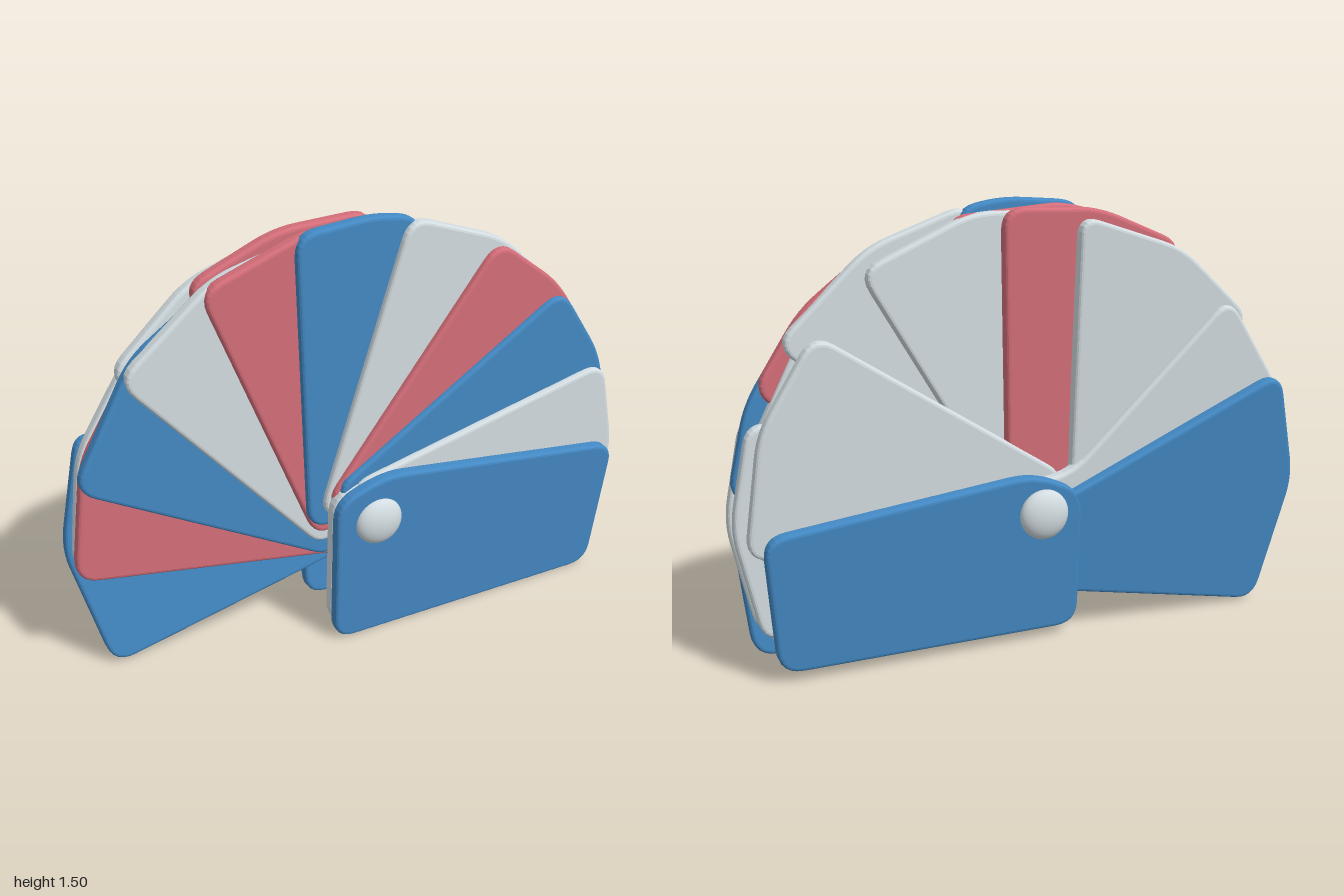
import * as THREE from 'three';

const mat = (name, color) => {
  const m = new THREE.MeshStandardMaterial({ color });
  m.name = name;
  return m;
};
const RAD = Math.PI / 180;
const PIVOT_Y = 0.47;

// Closed polygon whose corners are softened by radius r
function roundedShape(points, radius) {
  const p = points.map(([x, y]) => new THREE.Vector2(x, y));
  const shape = new THREE.Shape();
  p.forEach((c, i) => {
    const prev = p[(i + p.length - 1) % p.length];
    const next = p[(i + 1) % p.length];
    const cut = (to) => {
      const d = to.clone().sub(c);
      return c.clone().addScaledVector(d.clone().normalize(), Math.min(radius, d.length() * 0.45));
    };
    const a = cut(prev), b = cut(next);
    if (i === 0) shape.moveTo(a.x, a.y);
    else shape.lineTo(a.x, a.y);
    shape.quadraticCurveTo(c.x, c.y, b.x, b.y);
  });
  shape.closePath();
  return shape;
}

// Card stock with softly rounded edges, centred on its own z = 0
function cardGeometry(points) {
  const g = new THREE.ExtrudeGeometry(roundedShape(points, 0.08), {
    depth: 0.022, bevelEnabled: true, bevelThickness: 0.013, bevelSize: 0.013,
    bevelOffset: -0.013, bevelSegments: 3, curveSegments: 6,
  });
  g.translate(0, 0, -0.011);
  return g;
}

// Wedge-shaped leaf: h is the distance of its long upper edge from the pivot,
// low the direction of its lower outer corner, inner its lower corner by the pivot
function leafPoints(h, r, low = -36, inner = [0.06, -0.12]) {
  const polar = (deg, q) => [q * Math.cos(deg * RAD), q * Math.sin(deg * RAD)];
  return [
    [-0.05, h],
    [-0.05, inner[1]],
    inner,
    polar(low, r - 0.01),
    polar(low / 3, r),
    [Math.sqrt(r * r - h * h), h],
  ];
}

export function createModel() {
  const blue = mat('blue', 0x4389c4);
  const red = mat('red', 0xd46e79);
  const grey = mat('paleGrey', 0xd3dde1);

  const model = new THREE.Group();
  model.name = 'cardFan';

  const addCard = (name, points, material, z, angle = 0, lean = 0) => {
    const mesh = new THREE.Mesh(cardGeometry(points), material);
    mesh.name = name;
    mesh.rotation.z = angle * RAD;
    const holder = new THREE.Group();
    holder.name = name + 'Holder';
    holder.position.set(0, PIVOT_Y, z);
    holder.rotation.x = lean;
    holder.add(mesh);
    model.add(holder);
  };

  // Fanned leaves, each turned further and lying one layer deeper:
  // colour, edge offset, length, depth, direction of lower corner
  const leaves = [
    [grey, 0.15, 1.0, 0.122, -36],
    [blue, 0.17, 1.005, 0.1, -27],
    [red, 0.16, 1.015, 0.08, -26],
    [grey, 0.16, 1.03, 0.055, -36],
    [blue, 0.2, 1.035, 0.03, -14],
    [red, 0.19, 1.025, 0.005, -36],
    [grey, 0.21, 1.02, -0.018, -36],
    [blue, 0.25, 1.013, -0.04, -36],
    [red, 0.25, 0.998, -0.062, -30],
  ];
  const leafAngle = (i) => 13 + 19.6 * i;
  leaves.forEach(([colour, h, r, z, low], i) => {
    addCard('fanLeaf' + (i + 1), leafPoints(h, r, low), colour, z, leafAngle(i));
  });

  // Pale sheets filling the stack behind the coloured leaves
  addCard('lowBacking', leafPoints(0.15, 0.998), grey, 0.042, leafAngle(0));
  addCard('middleBacking', leafPoints(0.14, 0.97), grey, 0.064, leafAngle(2));
  addCard('deepBacking', leafPoints(0.14, 0.95), grey, 0.0, 30);
  addCard('innerBacking', leafPoints(0.17, 1.01), grey, -0.012, leafAngle(4));

  // Leaves seen from behind
  addCard('rearRedLeaf', leafPoints(0.17, 1.025, -29), red, -0.06, 113, -0.02);
  addCard('rearUpperLeaf', leafPoints(0.18, 1.005, -35, [0.15, 0.04]), grey, -0.086, 133, -0.055);
  addCard('rearSideLeaf', leafPoints(0.2, 0.99, -36, [0.14, -0.1]), grey, -0.108, 172, -0.055);
  addCard('rearLowLeaf', leafPoints(0.15, 0.99), grey, -0.07, 33, -0.03);
  addCard('rearBlueLeaf', leafPoints(0.28, 1.005, -36, [0.06, -0.05]), blue, -0.14, 192, -0.09);

  // Front and rear covers with a second sheet under the front one
  const cover = [[-0.155, -0.468], [0.925, -0.468], [0.98, 0.045], [0.03, 0.17], [-0.155, 0.1]];
  addCard('frontCover', cover, blue, 0.155, 0, 0.05);
  const sheet = cover.map(([x, y]) => [x * 0.94, y * 0.95]);
  addCard('frontUnderSheet', sheet, grey, 0.1, 0, 0.06);
  const rear = [[-0.15, -0.435], [0.9, -0.43], [0.94, 0.04], [0.03, 0.14], [-0.15, 0.06]];
  addCard('rearCover', rear, blue, -0.142, 0, -0.08);

  // Pivot pin with a domed rivet head on each side
  const pin = new THREE.Mesh(new THREE.CylinderGeometry(0.05, 0.05, 0.34, 24), grey);
  pin.name = 'pivotPin';
  pin.rotation.x = Math.PI / 2;
  pin.position.y = PIVOT_Y;
  model.add(pin);
  for (const side of [1, -1]) {
    const head = new THREE.Mesh(new THREE.SphereGeometry(0.086, 28, 18), grey);
    head.name = side > 0 ? 'frontRivet' : 'rearRivet';
    head.scale.z = 0.5;
    head.position.set(0, PIVOT_Y, side * 0.178);
    model.add(head);
  }
  return model;
}
